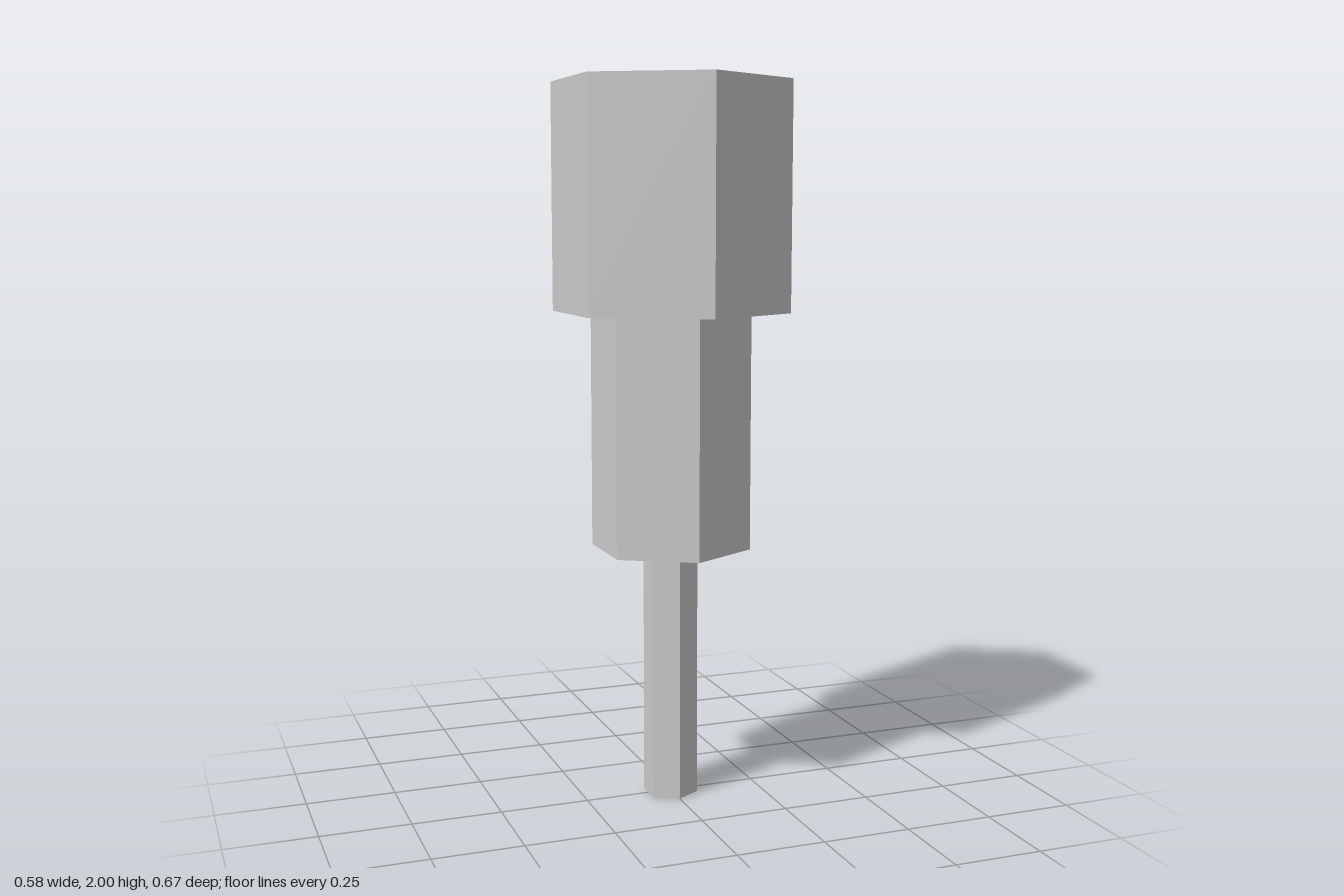
import * as THREE from 'three';

const material = new THREE.MeshStandardMaterial({ color: 0xcccccc, flatShading: true });

// Upright hexagonal prism with two corners on the z axis
function hexPrism(name, radius, bottom, top) {
  const mesh = new THREE.Mesh(new THREE.CylinderGeometry(radius, radius, top - bottom, 6), material);
  mesh.name = name;
  mesh.position.y = (bottom + top) / 2;
  return mesh;
}

export function createModel() {
  const group = new THREE.Group();
  group.name = 'steppedHexPin';
  group.add(
    hexPrism('tip', 0.077, 0, 0.715),
    hexPrism('shank', 0.225, 0.715, 1.375),
    hexPrism('head', 0.333, 1.375, 2),
  );
  return group;
}
